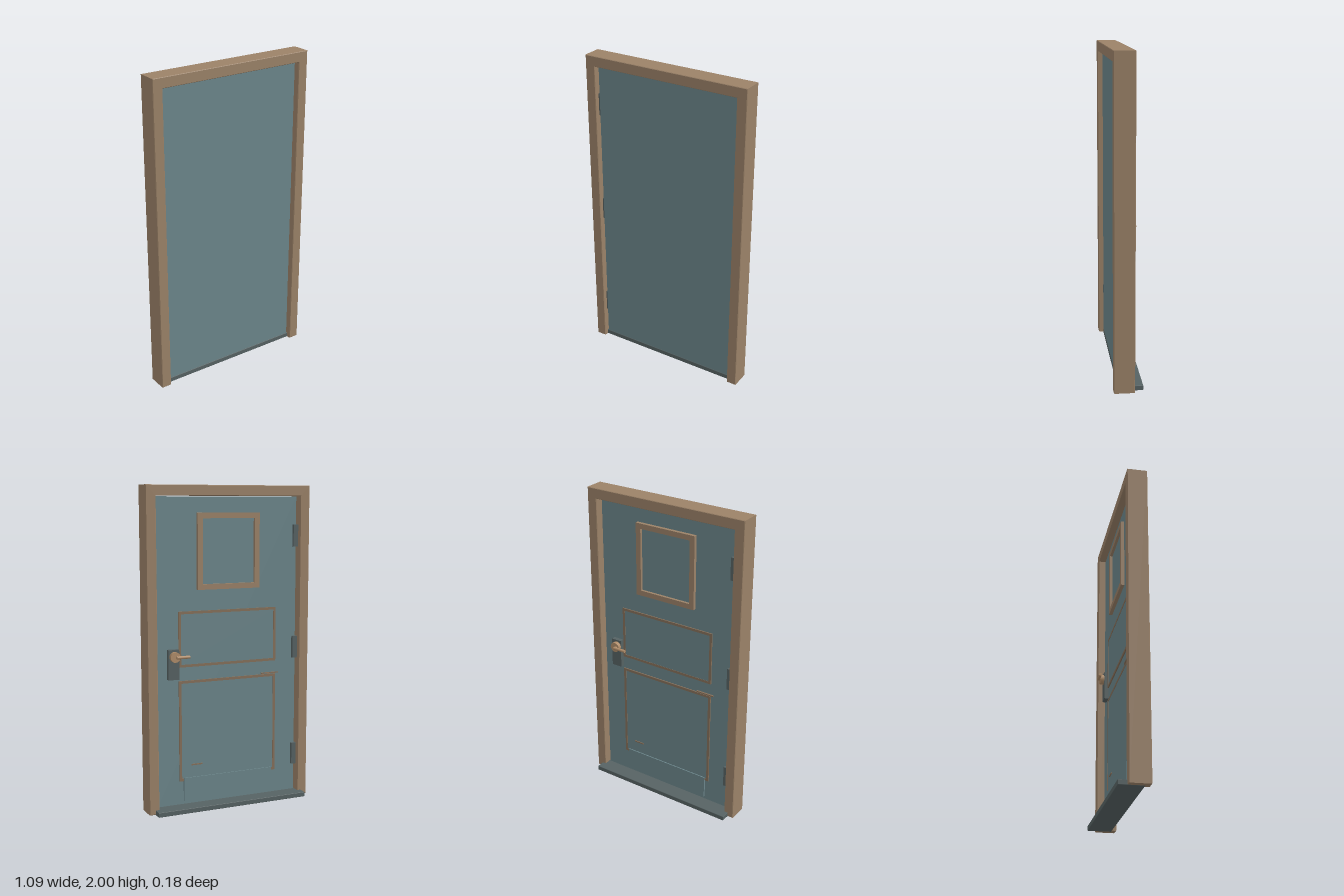
import * as THREE from 'three';
import { RoundedBoxGeometry } from 'three/addons/geometries/RoundedBoxGeometry.js';

const mat = (name, color) => {
  const m = new THREE.MeshStandardMaterial({ color });
  m.name = name;
  return m;
};

export function createModel() {
  const model = new THREE.Group();
  model.name = 'door';
  const wood = mat('frame wood', 0x9b8268);
  const blue = mat('door paint', 0x6c868b);
  const dark = mat('dark metal', 0x566263);
  const trim = mat('moulding brown', 0x86705a);
  const brass = mat('handle brass', 0xb08d6a);

  const add = (name, geo, m, x = 0, y = 0, z = 0, parent = model) => {
    const mesh = new THREE.Mesh(geo, m);
    mesh.name = name;
    mesh.position.set(x, y, z);
    parent.add(mesh);
    return mesh;
  };
  // Box given by its limits on each axis
  const box = (name, m, [x0, x1], [y0, y1], [z0, z1], parent) =>
    add(name, new THREE.BoxGeometry(x1 - x0, y1 - y0, z1 - z0), m,
      (x0 + x1) / 2, (y0 + y1) / 2, (z0 + z1) / 2, parent);

  // Rectangular ring from z0 to z1, open in the middle
  const ring = (name, m, w, y0, y1, bar, z0, z1) => {
    const s = new THREE.Shape([[-w, y0], [w, y0], [w, y1], [-w, y1]].map(p => new THREE.Vector2(...p)));
    const i = w - bar;
    s.holes.push(new THREE.Path([[-i, y0 + bar], [-i, y1 - bar], [i, y1 - bar], [i, y0 + bar]]
      .map(p => new THREE.Vector2(...p))));
    return add(name, new THREE.ExtrudeGeometry(s, { depth: z1 - z0, bevelEnabled: false }), m, 0, 0, z0);
  };

  // Outer frame: two jambs and a head with slightly eased edges
  const u = [[-0.543, 0.002], [-0.48, 0.002], [-0.48, 1.936], [0.48, 1.936],
    [0.48, 0.002], [0.543, 0.002], [0.543, 2], [-0.543, 2]];
  const e = 0.003;
  add('frame', new THREE.ExtrudeGeometry(new THREE.Shape(u.map(p => new THREE.Vector2(...p))), {
    depth: 0.126 - 2 * e, bevelEnabled: true, bevelThickness: e, bevelSize: e, bevelOffset: -e, bevelSegments: 1,
  }), wood, 0, 0, -0.038 + e);

  // Threshold reaching out behind the frame
  add('threshold', new RoundedBoxGeometry(1.01, 0.03, 0.15, 1, 0.003), dark, 0, 0.015, -0.017);

  // Door leaf
  const back = 0.008;
  box('doorLeaf', blue, [-0.473, 0.473], [0.031, 1.932], [back, 0.056]);

  // Upper window with raised surround
  ring('windowSurround', wood, 0.207, 1.372, 1.835, 0.033, back - 0.022, back);
  box('windowPane', blue, [-0.174, 0.174], [1.405, 1.802], [back - 0.005, back]);

  // Two panels edged with thin moulding
  for (const [y0, y1] of [[0.9, 1.243], [0.18, 0.815]]) {
    ring('panelMoulding', trim, 0.33, y0, y1, 0.016, back - 0.007, back);
    box('panel', blue, [-0.314, 0.314], [y0 + 0.016, y1 - 0.016], [back - 0.005, back]);
  }

  // Kick plate
  box('kickPlate', blue, [-0.302, 0.302], [0.05, 0.2], [back - 0.012, back]);

  // Small trim strips
  box('trimStrip', trim, [0.178, 0.252], [0.276, 0.284], [back - 0.01, back]);
  box('trimStrip', trim, [-0.35, -0.23], [0.819, 0.826], [back - 0.01, back]);

  // Hinges in the gap at the right jamb
  for (const y of [0.275, 0.98, 1.69]) {
    const hinge = new THREE.Group();
    hinge.name = 'hinge';
    model.add(hinge);
    box('hingeLeaf', dark, [-0.482, -0.448], [y - 0.07, y + 0.07], [back - 0.018, back], hinge);
    box('hingePin', dark, [-0.482, -0.472], [y - 0.07, y + 0.07], [back, 0.057], hinge);
  }

  // Lock plate, rosette and lever
  const handle = new THREE.Group();
  handle.name = 'handle';
  model.add(handle);
  box('lockPlate', dark, [0.335, 0.405], [0.83, 1.015], [-0.02, back], handle);
  const rod = (name, r, len, x, z) => add(name, new THREE.CylinderGeometry(r, r, len, 20), brass, x, 0.972, z, handle);
  rod('rosette', 0.032, 0.024, 0.367, -0.032).rotation.x = Math.PI / 2;
  rod('stem', 0.009, 0.02, 0.357, -0.05).rotation.x = Math.PI / 2;
  rod('lever', 0.0095, 0.085, 0.322, -0.055).rotation.z = Math.PI / 2;

  return model;
}
